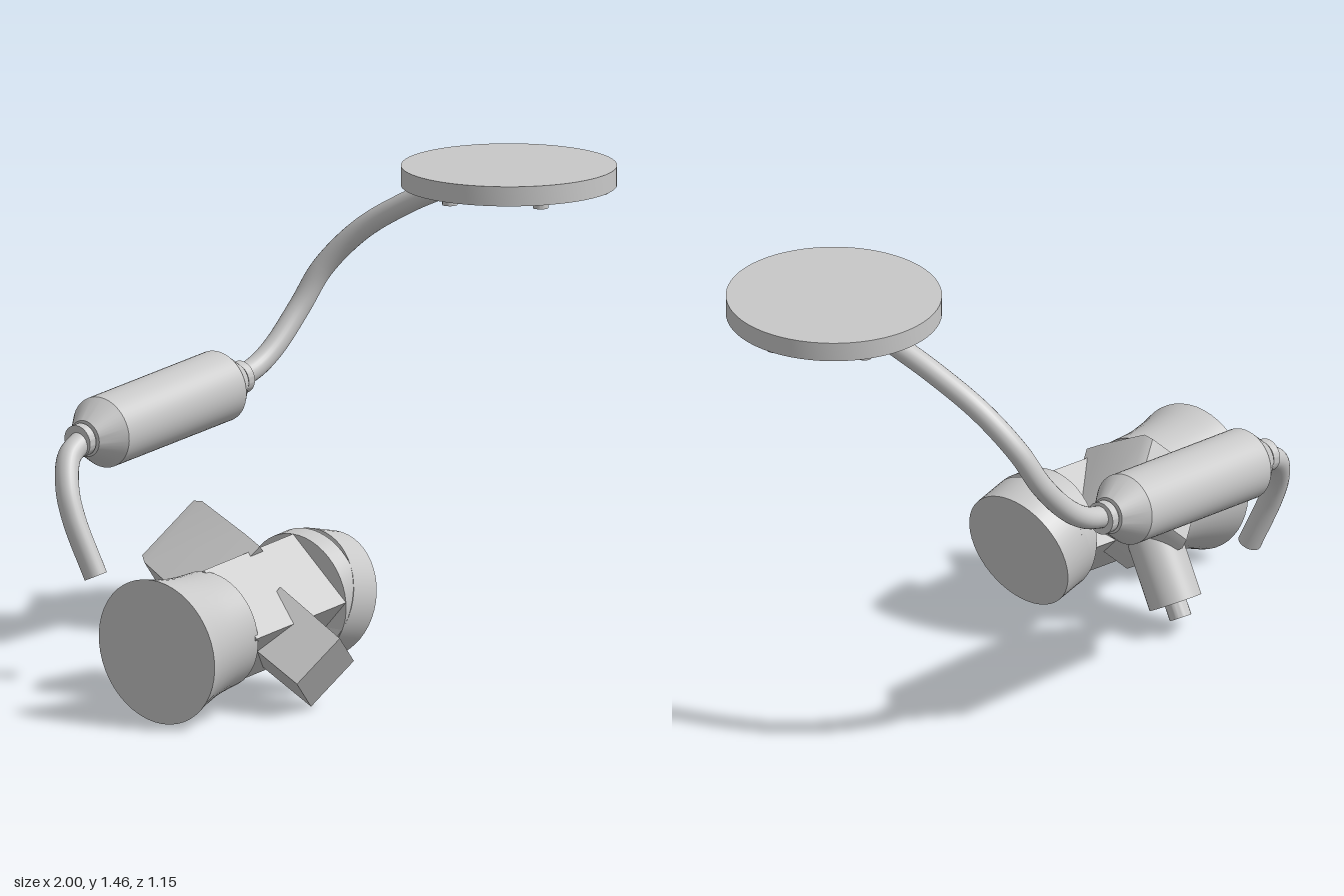
import * as THREE from 'three';
import { toCreasedNormals } from 'three/addons/utils/BufferGeometryUtils.js';

const grey = new THREE.MeshStandardMaterial({ color: 0xc8c8c8 });
grey.name = 'light grey';

function add(parent, name, geometry) {
  const mesh = new THREE.Mesh(geometry, grey);
  mesh.name = name;
  parent.add(mesh);
  return mesh;
}

// Turned solid: profile is [radius, height] from bottom to top; 4 sides gives a diamond prism
function turned(parent, name, profile, sides = 48) {
  const points = profile.map(([r, h]) => new THREE.Vector2(r, h));
  return add(parent, name, toCreasedNormals(new THREE.LatheGeometry(points, sides), 0.5));
}

// Bent pipe with a flat cap at each end
function pipe(parent, name, points, radius) {
  const group = new THREE.Group();
  group.name = name;
  parent.add(group);
  const curve = new THREE.CatmullRomCurve3(points.map((p) => new THREE.Vector3(...p)));
  add(group, name + 'Bend', new THREE.TubeGeometry(curve, 40, radius, 24));
  for (const t of [0, 1]) {
    const cap = add(group, name + 'Cap', new THREE.CircleGeometry(radius, 24));
    const out = curve.getTangent(t).multiplyScalar(t ? 1 : -1);
    cap.position.copy(curve.getPoint(t));
    cap.quaternion.setFromUnitVectors(new THREE.Vector3(0, 0, 1), out);
  }
}

export function createModel() {
  const model = new THREE.Group();
  model.name = 'jointedArm';

  // Mounting plate with six bolts underneath
  const base = new THREE.Group();
  base.name = 'mount';
  base.position.set(0.675, 0, 0.237);
  model.add(base);
  turned(base, 'mountPlate', [[0, 1.408], [0.325, 1.408], [0.325, 1.468], [0, 1.468]], 64);
  for (let i = 0; i < 6; i++) {
    const a = (i * Math.PI) / 3;
    const bolt = turned(base, 'bolt', [[0, 1.39], [0.023, 1.39], [0.023, 1.41], [0, 1.41]], 20);
    bolt.position.set(0.277 * Math.cos(a), 0, 0.277 * Math.sin(a));
  }

  // Pipes on either side of the canister
  pipe(model, 'upperPipe', [
    [0.672, 1.385, 0.02], [0.64, 1.312, -0.13], [0.6, 1.215, -0.28], [0.55, 1.09, -0.39],
    [0.5, 0.98, -0.432], [0.4, 0.865, -0.452], [0.32, 0.812, -0.461], [0.23, 0.787, -0.465],
  ], 0.034);
  pipe(model, 'lowerPipe', [
    [-0.48, 0.716, -0.465], [-0.555, 0.675, -0.457], [-0.605, 0.59, -0.422],
    [-0.617, 0.5, -0.385], [-0.6, 0.335, -0.315],
  ], 0.036);

  // Canister with tapered ends and collars
  const canister = turned(model, 'canister', [
    [0, -0.388], [0.05, -0.388], [0.05, -0.36], [0.044, -0.36], [0.044, -0.352], [0.056, -0.352],
    [0.11, -0.276], [0.11, 0.276],
    [0.056, 0.352], [0.044, 0.352], [0.044, 0.36], [0.05, 0.36], [0.05, 0.388], [0, 0.388],
  ]);
  canister.position.set(-0.12, 0.7525, -0.466);
  canister.rotation.z = 0.1 - Math.PI / 2;

  // Tilted head
  const head = new THREE.Group();
  head.name = 'head';
  head.position.set(-0.5, 0.287, 0.237);
  head.rotation.z = 0.11;
  model.add(head);

  const horn = turned(head, 'horn', [
    [0, -0.478], [0.226, -0.478], [0.209, -0.42], [0.196, -0.36], [0.187, -0.3], [0.182, -0.22], [0, -0.22],
  ]);
  const body = turned(head, 'body', [[0, -0.235], [0.19, -0.235], [0.19, 0.2], [0, 0.2]], 4);
  const collar = turned(head, 'frontCollar', [[0, 0.185], [0.19, 0.185], [0.19, 0.25], [0, 0.25]]);
  for (const part of [horn, body, collar]) part.rotation.z = -Math.PI / 2;

  // End drum, tipped against the collar so a wedge gap opens at the top
  const drum = turned(model, 'endDrum', [[0, -0.11], [0.192, -0.11], [0.192, 0], [0, 0]]);
  drum.position.set(-0.178, 0.288, 0.237);
  drum.rotation.z = -0.222 - Math.PI / 2;

  // Square blocks standing out on opposite sides
  const rearBlock = turned(head, 'rearBlock',
    [[0, 0.08], [0.19, 0.08], [0.19, 0.14], [0.18, 0.325], [0.16, 0.352], [0, 0.352]], 4);
  rearBlock.rotation.x = -Math.PI / 3;
  const frontBlock = turned(head, 'frontBlock', [[0, 0.05], [0.138, 0.05], [0.134, 0.307], [0, 0.307]], 4);
  frontBlock.position.x = -0.02;
  frontBlock.rotation.x = (2 * Math.PI) / 3;

  // Stepped knob below the rear block
  const knob = turned(head, 'knob', [
    [0, -0.22], [0.082, -0.22], [0.082, 0], [0.034, 0], [0.034, 0.048], [0, 0.048],
  ]);
  knob.position.set(-0.005, -0.175, -0.357);
  knob.rotation.x = (7 * Math.PI) / 6;

  return model;
}
